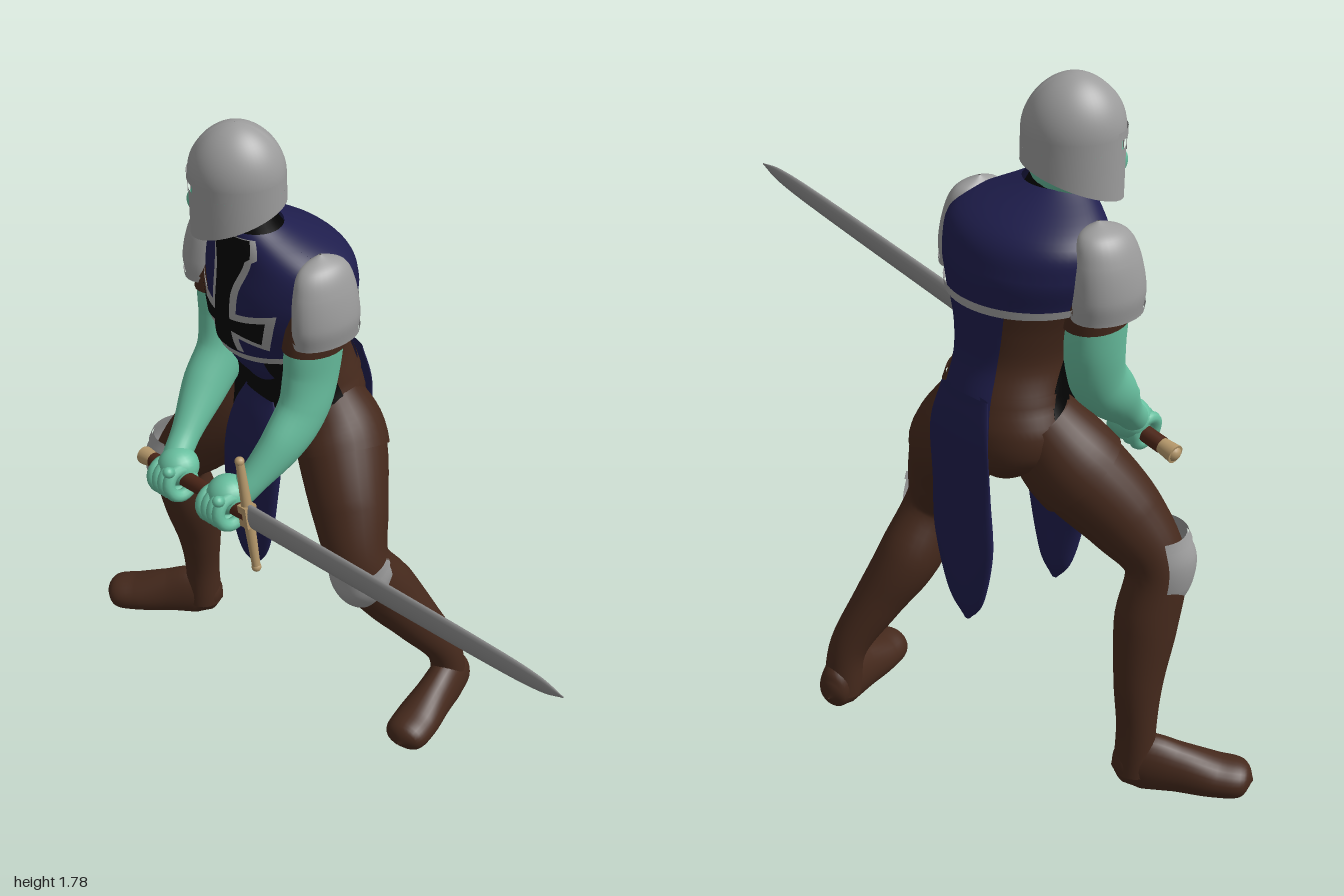
import * as THREE from 'three';
import { ParametricGeometry } from 'three/addons/geometries/ParametricGeometry.js';

const V = (x, y, z) => new THREE.Vector3(x, y, z);
const mat = (name, color) =>
  Object.assign(new THREE.MeshStandardMaterial({ color, side: THREE.DoubleSide }), { name });

const steel = mat('armour steel', 0x9c9c9c);
const bladeSteel = mat('blade steel', 0x8a8a8a);
const blue = mat('navy cloth', 0x1f1e4d);
const black = mat('black cloth', 0x030303);
const leather = mat('brown leather', 0x45291c);
const gripBrown = mat('grip leather', 0x4c2618);
const brass = mat('pale brass', 0xb4976a);
const skin = mat('green skin', 0x68bf9f);

function add(parent, name, geometry, material, pos = [0, 0, 0]) {
  const m = new THREE.Mesh(geometry, material);
  m.name = name;
  m.position.set(...pos);
  parent.add(m);
  return m;
}

function group(parent, name, pos = [0, 0, 0]) {
  const g = new THREE.Group();
  g.name = name;
  g.position.set(...pos);
  parent.add(g);
  return g;
}

const surface = (fn, n, m) => new ParametricGeometry((u, v, t) => t.copy(fn(u, v)), n, m);

// Smooth skin through sections [x, y, z, radius along ref, radius across]
function lofter(sections, { ref = V(0, 0, 1), up = null, floor = -9 } = {}) {
  const curve = (pts) => new THREE.CatmullRomCurve3(pts, false, 'catmullrom', 0.5);
  const path = curve(sections.map((s) => V(s[0], s[1], s[2])));
  const radii = curve(sections.map((s) => V(s[3], s[4] ?? s[3], 0)));
  return (angle, t, grow = 0) => {
    const T = up || path.getTangent(t);
    const N = ref.clone().addScaledVector(T, -ref.dot(T)).normalize();
    const B = T.clone().cross(N);
    const r = radii.getPoint(t);
    const p = path.getPoint(t)
      .addScaledVector(N, Math.cos(angle) * (Math.max(r.x, 0.0015) + grow))
      .addScaledVector(B, Math.sin(angle) * (Math.max(r.y, 0.0015) + grow));
    p.y = Math.max(p.y, floor);
    return p;
  };
}

function patch(fn, { a = [0, Math.PI * 2], v = [0, 1], grow = 0, n = 28, m = 36 } = {}) {
  const mix = THREE.MathUtils.lerp;
  return surface((s, t) => fn(mix(a[0], a[1], s), mix(v[0], v[1], t), grow), n, m);
}

const UP = V(0, 1, 0);
const loft = (sections, opts = {}) => patch(lofter(sections, opts), opts);

// Torso sections are evenly spaced in height, so y maps straight to t
const torsoSections = [
  [-0.41, 0.80, -0.09, 0.05, 0.05], [-0.41, 0.88, -0.10, 0.135, 0.16],
  [-0.41, 0.96, -0.10, 0.145, 0.18], [-0.405, 1.04, -0.085, 0.14, 0.155],
  [-0.40, 1.12, -0.045, 0.155, 0.145], [-0.40, 1.20, -0.025, 0.17, 0.16],
  [-0.395, 1.28, -0.02, 0.175, 0.19], [-0.395, 1.36, -0.02, 0.168, 0.215],
  [-0.395, 1.44, -0.01, 0.138, 0.20], [-0.405, 1.52, 0.055, 0.065, 0.075],
];
const torsoAt = lofter(torsoSections, { up: UP });
const tY = (y) => (y - 0.8) / 0.72;

function buildTorso(root) {
  const g = group(root, 'torso');
  const H = Math.PI / 2;
  const front = [-H, H], back = [H, 3 * H];
  const zone = (name, material, a, y0, y1, grow = 0, m = 20) =>
    add(g, name, patch(torsoAt, { a, v: [tY(y0), tY(y1)], grow, m }), material);
  zone('frontCloth', black, front, 0.8, 1.18, 0.001);
  zone('backLeather', leather, back, 0.8, 1.28);
  zone('belt', leather, back, 1.03, 1.06, 0.006, 3);
  zone('bellyPanel', blue, [-0.6, 0.6], 1.05, 1.18, 0.006);
  zone('backPanel', blue, [2 * H - 0.5, 2 * H + 0.5], 0.97, 1.28, 0.008);
  zone('chestFront', blue, front, 1.17, 1.52, 0.008);
  zone('chestBack', blue, back, 1.27, 1.52, 0.008);
  zone('frontHem', steel, front, 1.165, 1.185, 0.014, 3);
  zone('backHem', steel, back, 1.265, 1.285, 0.014, 3);

  // Chest cross, draped over the torso: steel edge below a black field
  const drape = (grow, fn) => surface((u, v) => {
    const [x, y] = fn(u * 2 - 1, v);
    const a = Math.asin(THREE.MathUtils.clamp(x / (y > 1.46 ? 0.16 : 0.19), -1, 1));
    return torsoAt(a, tY(y), grow);
  }, 20, 30);
  for (const [name, material, edge, grow] of
    [['crossEdge', steel, 0.017, 0.012], ['crossField', black, 0, 0.016]]) {
    add(g, name + 'Upright', drape(grow, (s, v) => {
      const y = 1.19 + v * 0.32;
      const flare = y > 1.35 ? ((y - 1.35) / 0.16) ** 2 * 0.075 : ((1.35 - y) / 0.16) ** 2 * 0.024;
      return [s * (0.025 + flare + edge), y];
    }), material);
    add(g, name + 'Bar', drape(grow + 0.001, (s, v) => {
      const x = s * (0.115 + edge);
      return [x, 1.275 + (v * 2 - 1) * (0.016 + 1.6 * x * x + edge)];
    }), material);
  }

  add(g, 'collar', loft([[-0.405, 1.47, 0.045, 0.088], [-0.41, 1.51, 0.058, 0.076],
    [-0.415, 1.54, 0.066, 0.07]], { up: UP, m: 8 }), black);
  add(g, 'neck', loft([[-0.41, 1.48, 0.055, 0.06], [-0.425, 1.6, 0.075, 0.06]], { up: UP, m: 6 }), skin);

  // Hanging tabard flaps over a short black underskirt
  add(g, 'underskirt', loft([[-0.4, 1.1, 0.05, 0.03, 0.12], [-0.4, 1.0, 0.03, 0.03, 0.145],
    [-0.4, 0.9, 0.055, 0.03, 0.14], [-0.405, 0.82, 0.075, 0.02, 0.105]]), black);
  add(g, 'frontFlap', loft([[-0.4, 1.0, 0.06, 0.008, 0.06], [-0.4, 0.93, 0.07, 0.026, 0.095],
    [-0.4, 0.84, 0.085, 0.034, 0.115], [-0.405, 0.73, 0.095, 0.035, 0.113],
    [-0.41, 0.6, 0.095, 0.035, 0.09], [-0.42, 0.48, 0.085, 0.03, 0.05], [-0.42, 0.42, 0.08, 0.004, 0.008]]), blue);
  add(g, 'backFlap', loft([[-0.41, 1.06, -0.228, 0.01, 0.08], [-0.41, 0.95, -0.245, 0.012, 0.1],
    [-0.41, 0.8, -0.235, 0.02, 0.1], [-0.415, 0.65, -0.23, 0.025, 0.1],
    [-0.42, 0.5, -0.225, 0.02, 0.06], [-0.42, 0.43, -0.22, 0.004, 0.008]]), blue);
}

function buildHead(root) {
  const g = group(root, 'head', [-0.438, 0, 0.075]);
  g.rotation.y = -0.7;
  add(g, 'face', new THREE.SphereGeometry(1, 28, 20), skin, [0, 1.59, 0.004]).scale.set(0.096, 0.125, 0.112);
  add(g, 'nose', new THREE.SphereGeometry(1, 12, 10), skin, [0, 1.565, 0.112]).scale.set(0.013, 0.028, 0.016);

  // Helmet shell as angular bands, open in front for the eyes and mouth
  const shell = (name, gap, low, high, k = 1, front = false) => add(g, name, surface((u, v) => {
    const a = front ? (u * 2 - 1) * gap : gap + u * 2 * (Math.PI - gap);
    const y = THREE.MathUtils.lerp(low(a), high, v);
    return V(0.107 * k * Math.sin(a), y, 0.122 * k * Math.cos(a));
  }, 40, 8), steel);
  add(g, 'helmetDome', surface((u, v) => {
    const a = u * Math.PI * 2, f = v * 1.565;
    const r = Math.cos(f) ** 1.1, ridge = 1 + 0.05 * Math.exp(-((Math.sin(a) / 0.12) ** 2)) * Math.sin(f);
    return V(0.107 * r * Math.sin(a), 1.64 + 0.14 * Math.sin(f), 0.122 * r * ridge * Math.cos(a));
  }, 48, 20), steel);
  shell('helmetCheeks', 0.19, (a) => 1.525 - 0.045 * Math.cos(a), 1.61);
  shell('helmetEyeBand', 0.5, () => 1.61, 1.642);
  shell('noseGuard', 0.06, () => 1.59, 1.645, 1.01, true);
  shell('browRidge', 0.7, () => 1.634, 1.655, 1.025, true);
}

function buildArms(root) {
  const arms = {
    right: [[-0.6, 1.4, 0, 0.06], [-0.585, 1.25, 0.02, 0.083, 0.065], [-0.575, 1.15, 0.03, 0.082, 0.064],
      [-0.56, 1.06, 0.06, 0.075, 0.06], [-0.545, 0.98, 0.13, 0.066, 0.056],
      [-0.51, 0.89, 0.22, 0.042, 0.04], [-0.485, 0.84, 0.275, 0.038]],
    left: [[-0.2, 1.4, 0, 0.055], [-0.208, 1.25, 0.02, 0.083, 0.056], [-0.212, 1.15, 0.03, 0.082, 0.054],
      [-0.208, 1.06, 0.06, 0.075, 0.053], [-0.205, 0.98, 0.13, 0.066, 0.05],
      [-0.215, 0.9, 0.22, 0.042, 0.04], [-0.23, 0.85, 0.275, 0.038]],
  };
  // Shoulder plates: side, centre x, centre z, half width
  for (const [side, k, c, z, w] of [['right', 1, -0.62, 0.02, 0.066], ['left', -1, -0.186, 0.002, 0.054]]) {
    const g = group(root, side + 'Arm');
    const at = lofter(arms[side]);
    add(g, 'bareArm', patch(at), skin);
    add(g, 'sleeve', patch(at, { v: [0.02, 0.19], grow: 0.006, m: 8 }), leather);
    const plate = lofter([[c, 1.262, z, 0.094, w], [c - 0.003 * k, 1.32, z, 0.099, w + 0.003],
      [c + 0.006 * k, 1.4, z - 0.003, 0.09, w - 0.003], [c + 0.018 * k, 1.455, z - 0.006, 0.066, w * 0.7],
      [c + 0.03 * k, 1.483, z - 0.01, 0.003, 0.003]], { up: UP });
    add(g, 'shoulderPlate', patch(plate), steel);
    add(g, 'shoulderRim', patch(plate, { v: [0, 0.08], grow: 0.004, m: 3 }), steel);
  }
}

function buildLegs(root) {
  const legs = {
    right: [[-0.5, 0.97, -0.08, 0.09], [-0.565, 0.85, -0.015, 0.115], [-0.66, 0.72, 0.065, 0.102],
      [-0.735, 0.6, 0.105, 0.076], [-0.742, 0.45, 0.075, 0.08, 0.077], [-0.755, 0.3, 0.045, 0.064, 0.06],
      [-0.765, 0.17, 0.035, 0.05], [-0.765, 0.04, 0.035, 0.052]],
    left: [[-0.33, 0.97, -0.1, 0.09], [-0.27, 0.85, -0.105, 0.125, 0.11], [-0.18, 0.7, -0.065, 0.108, 0.1],
      [-0.113, 0.56, -0.045, 0.084, 0.078], [-0.1, 0.42, -0.13, 0.086, 0.08], [-0.065, 0.3, -0.205, 0.069, 0.064],
      [-0.03, 0.17, -0.28, 0.05], [-0.025, 0.04, -0.3, 0.05]],
  };
  const feet = { right: [-0.73, 0.0, -0.985, 0.235], left: [-0.04, -0.355, 0.075, -0.03] };
  // Knee plates: position, turn, tilt
  const knees = { right: [[-0.735, 0.6, 0.1], -0.55, 0], left: [[-0.115, 0.525, -0.055], 0.7, 0.5] };
  for (const side of ['right', 'left']) {
    const g = group(root, side + 'Leg');
    const at = lofter(legs[side]);
    add(g, 'leg', patch(at, { m: 48 }), leather);
    add(g, 'tunicHem', patch(at, { v: [0, 0.17], grow: 0.007, m: 8 }), leather);
    // Boot foot: [fraction along, height, half height, half width]
    const [hx, hz, tx, tz] = feet[side];
    const profile = [[-0.02, 0.045, 0.002, 0.002], [0.04, 0.05, 0.05, 0.038], [0.2, 0.062, 0.082, 0.049],
      [0.45, 0.05, 0.07, 0.055], [0.72, 0.035, 0.054, 0.064], [0.92, 0.03, 0.043, 0.055], [1, 0.025, 0.002, 0.002]];
    add(g, 'bootFoot', loft(profile.map(([f, y, rv, rw]) =>
      [hx + (tx - hx) * f, y, hz + (tz - hz) * f, rv, rw]), { ref: UP, floor: 0 }), leather);
    // Knee plate wraps the front of the joint
    const [pos, turn, tilt] = knees[side];
    const k = group(g, 'kneeGuard', pos);
    k.rotation.set(tilt, turn, 0, 'YXZ');
    const plate = lofter([[0, -0.1, -0.01, 0.084, 0.06], [0, -0.04, 0, 0.097, 0.08],
      [0, 0.03, 0, 0.102, 0.088], [0, 0.1, -0.01, 0.084, 0.078]], { up: UP });
    add(k, 'kneePlate', patch(plate, { a: [-1.45, 1.45] }), steel);
    add(k, 'kneeRim', patch(plate, { a: [-1.45, 1.45], v: [0.9, 1], grow: 0.005, m: 3 }), steel);
  }
}

function buildSword(root) {
  // Local +x runs from the guard to the point
  const g = group(root, 'sword', [-0.145, 0.86, 0.288]);
  g.rotation.set(0, 0.014, 0.173);
  add(g, 'blade', loft([[0, 0, 0, 0.014, 0.035], [0.45, 0, 0, 0.013, 0.033], [0.9, 0, 0, 0.011, 0.029],
    [1.08, 0, 0, 0.008, 0.021], [1.162, 0, 0, 0.001, 0.002]], { n: 16, m: 32 }), bladeSteel);
  add(g, 'grip', new THREE.CylinderGeometry(0.022, 0.02, 0.43, 20), gripBrown, [-0.215, 0, 0]).rotation.z = Math.PI / 2;
  add(g, 'pommel', new THREE.CylinderGeometry(0.02, 0.025, 0.05, 20), brass, [-0.45, 0, 0]).rotation.z = -Math.PI / 2;
  add(g, 'pommelCap', new THREE.SphereGeometry(0.022, 16, 12), brass, [-0.464, 0, 0]);
  add(g, 'guardBlock', new THREE.BoxGeometry(0.034, 0.06, 0.036), brass);
  for (const s of [-1, 1]) {
    add(g, 'guardArm', new THREE.CylinderGeometry(0.011, 0.015, 0.15, 16), brass, [0, s * 0.085, 0]).rotation.z = s < 0 ? Math.PI : 0;
    add(g, 'guardTip', new THREE.SphereGeometry(0.013, 14, 10), brass, [0, s * 0.156, 0]);
  }
  // Fists closed round the grip
  for (const [name, x] of [['rightHand', -0.32], ['leftHand', -0.095]]) {
    const h = group(g, name, [x, 0, 0]);
    add(h, 'palm', new THREE.SphereGeometry(1, 20, 16), skin, [0, 0.022, -0.008]).scale.set(0.056, 0.052, 0.056);
    for (let i = 0; i < 4; i++) {
      add(h, 'finger', new THREE.TorusGeometry(0.037, 0.017, 10, 24), skin,
        [(i - 1.5) * 0.025, -0.006, 0.016]).rotation.y = Math.PI / 2;
    }
    const thumb = add(h, 'thumb', new THREE.CapsuleGeometry(0.015, 0.05, 6, 12), skin, [0.035, 0.033, 0.038]);
    thumb.rotation.set(0.9, 0, -0.6);
  }
}

export function createModel() {
  const root = new THREE.Group();
  root.name = 'swordsman';
  buildTorso(root);
  buildHead(root);
  buildArms(root);
  buildLegs(root);
  buildSword(root);
  return root;
}
